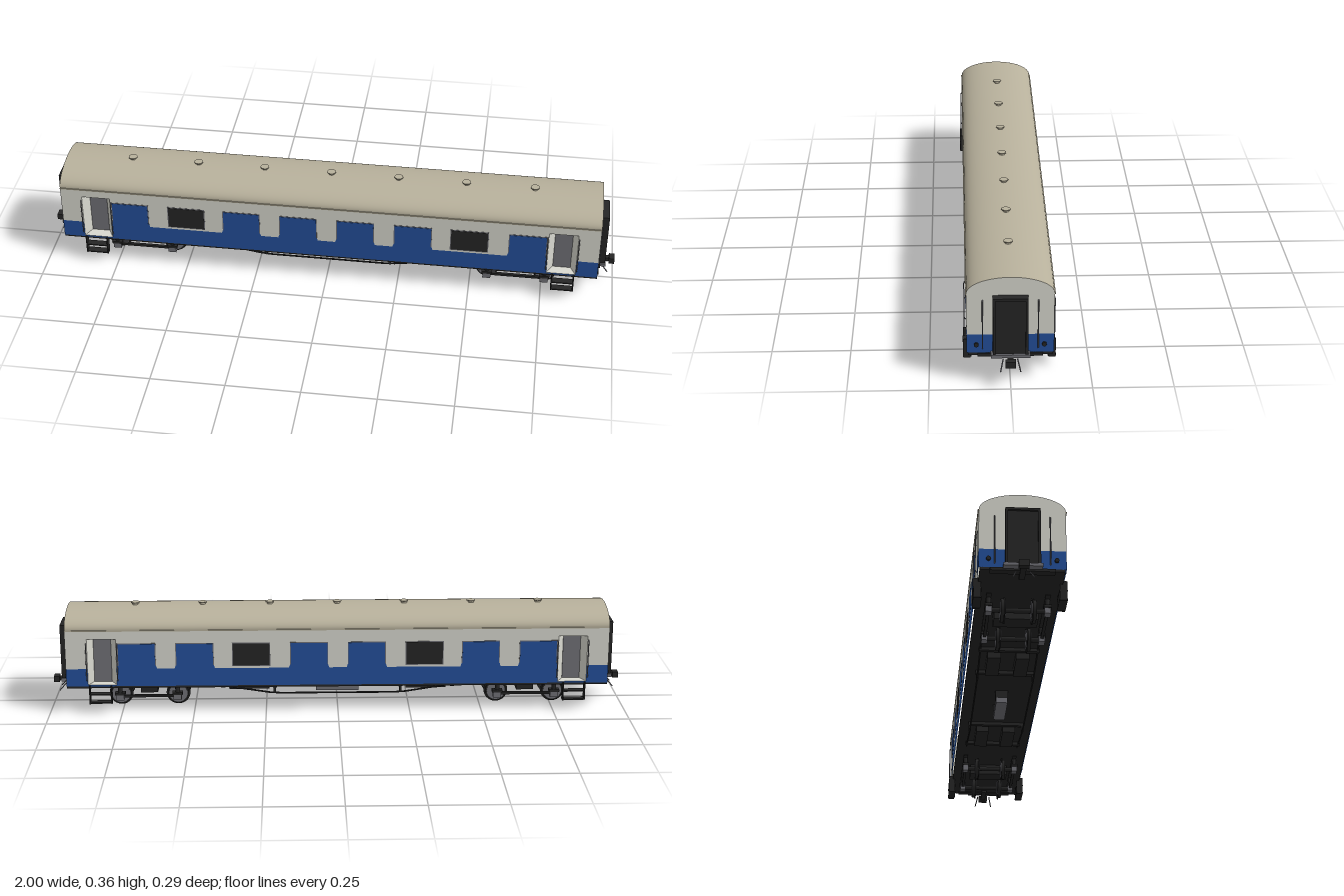
import * as THREE from 'three';

const mat = (name, color, side = THREE.FrontSide) => {
  const m = new THREE.MeshStandardMaterial({ color, side });
  m.name = name;
  return m;
};

export function createModel() {
  const cream = mat('cream paint', 0xd9d9d0, THREE.DoubleSide);
  const blue = mat('blue paint', 0x24509c, THREE.DoubleSide);
  const roofMat = mat('beige roof', 0xb8b19c);
  const dark = mat('dark metal', 0x262626);
  const grey = mat('grey metal', 0x727278, THREE.DoubleSide);

  const L = 0.94, W = 0.134, BASE = 0.095, BAND = 0.158, EAVES = 0.297, RISE = 0.055;
  const model = new THREE.Group();
  model.name = 'railwayCoach';

  const add = (parent, name, geo, material, x = 0, y = 0, z = 0) => {
    const m = new THREE.Mesh(geo, material);
    m.name = name;
    m.position.set(x, y, z);
    parent.add(m);
    return m;
  };
  // Box given by its minimum and maximum on each axis
  const box = (parent, name, material, x0, x1, y0, y1, z0, z1) =>
    add(parent, name, new THREE.BoxGeometry(x1 - x0, y1 - y0, z1 - z0), material,
      (x0 + x1) / 2, (y0 + y1) / 2, (z0 + z1) / 2);
  const tube = (parent, name, material, pts, r) => {
    const path = new THREE.CurvePath();
    for (let i = 1; i < pts.length; i++)
      path.add(new THREE.LineCurve3(new THREE.Vector3(...pts[i - 1]), new THREE.Vector3(...pts[i])));
    return add(parent, name, new THREE.TubeGeometry(path, 24, r, 6), material);
  };
  const poly = pts => new THREE.Shape(pts.map(p => new THREE.Vector2(...p)));
  const rect = (x0, x1, y0, y1) => [[x0, y0], [x1, y0], [x1, y1], [x0, y1]];
  const group = (parent, name) => {
    const g = new THREE.Group();
    g.name = name;
    parent.add(g);
    return g;
  };

  // Curved roof, ventilators and underframe floor
  const roof = new THREE.CylinderGeometry(1, 1, 2 * L, 40, 1, true, 0, Math.PI);
  roof.rotateZ(Math.PI / 2).scale(1, RISE, W);
  add(model, 'roof', roof, roofMat, 0, EAVES, 0);
  for (let i = -3; i <= 3; i++) {
    const v = group(model, 'roofVentilator');
    add(v, 'ventStem', new THREE.CylinderGeometry(0.01, 0.01, 0.012, 16), roofMat, i * 0.235, 0.354, 0);
    add(v, 'ventCap', new THREE.CylinderGeometry(0.015, 0.015, 0.003, 20), roofMat, i * 0.235, 0.3595, 0);
  }
  box(model, 'floor', dark, -L, L, 0.087, BASE + 0.001, -W + 0.004, W - 0.004);

  // One long side; the windows with dark panes differ between sides
  const D0 = 0.765, D1 = 0.865, DOOR_TOP = 0.265, DOOR_BASE = 0.1;
  const buildSide = (name, darkPanes) => {
    const s = group(model, name);
    const upper = poly([[-L, BAND], [-D1, BAND], [-D1, DOOR_TOP], [-D0, DOOR_TOP], [-D0, BAND],
      [D0, BAND], [D0, DOOR_TOP], [D1, DOOR_TOP], [D1, BAND], [L, BAND], [L, EAVES], [-L, EAVES]]);
    const lower = poly([[-L, BASE], [L, BASE], [L, BAND], [D1, BAND], [D1, DOOR_BASE], [D0, DOOR_BASE], [D0, BAND],
      [-D0, BAND], [-D0, DOOR_BASE], [-D1, DOOR_BASE], [-D1, BAND], [-L, BAND]]);
    add(s, 'upperPanel', new THREE.ShapeGeometry(upper), cream, 0, 0, W);
    add(s, 'lowerPanel', new THREE.ShapeGeometry(lower), blue, 0, 0, W);
    box(s, 'gutter', roofMat, -L, L, 0.293, 0.297, W - 0.002, W + 0.003);
    // Windows
    [-0.695, -0.495, -0.3, -0.1, 0.1, 0.3, 0.495, 0.695].forEach((x, i) => {
      const isDark = darkPanes.includes(i);
      box(s, 'windowFrame', grey, x - 0.066, x + 0.066, 0.165, 0.25, W - 0.003, W + 0.001);
      box(s, 'windowPane', isDark ? dark : blue, x - 0.063, x + 0.063, 0.168, 0.247, W - 0.002, W + 0.002);
      if (!isDark) {
        const flare = poly([[-0.07, BAND], [0.07, BAND], [0.066, 0.17], [-0.066, 0.17]]);
        add(s, 'windowSkirt', new THREE.ShapeGeometry(flare), blue, x, 0, W + 0.0015);
      }
    });
    // Recessed doorways with splayed walls, handrails and steps
    for (const e of [-1, 1]) {
      const d = group(s, 'doorway');
      const zi = W - 0.04, I0 = 0.786, I1 = 0.847;
      const o = rect(e * D0, e * D1, DOOR_BASE, DOOR_TOP), n = rect(e * I0, e * I1, DOOR_BASE, DOOR_TOP);
      const pos = [];
      for (let k = 0; k < 4; k++) {
        const j = (k + 1) % 4;
        const a = [...o[k], W], b = [...o[j], W], c = [...n[j], zi], f = [...n[k], zi];
        pos.push(...a, ...b, ...c, ...a, ...c, ...f);
      }
      const funnel = new THREE.BufferGeometry();
      funnel.setAttribute('position', new THREE.Float32BufferAttribute(pos, 3));
      funnel.computeVertexNormals();
      add(d, 'doorRecess', funnel, cream);
      const xs = [e * I0, e * I1].sort((a, b) => a - b);
      box(d, 'sideDoor', grey, xs[0], xs[1], DOOR_BASE, DOOR_TOP, zi - 0.004, zi + 0.001);
      for (const x of [0.762, 0.868])
        tube(d, 'handrail', grey, [[e * x, 0.115, W], [e * x, 0.12, 0.14], [e * x, 0.245, 0.14], [e * x, 0.25, W]], 0.0018);
      for (const x of [0.785, 0.86])
        box(d, 'stepBracket', dark, e * x - 0.002, e * x + 0.002, 0.033, 0.098, 0.121, 0.144);
      for (const y of [0.035, 0.065])
        box(d, 'stepTread', dark, e * 0.8225 - 0.0375, e * 0.8225 + 0.0375, y, y + 0.004, 0.119, 0.145);
    }
    // Truss rod and underfloor boxes
    tube(s, 'trussRod', dark, [[-0.47, 0.092, 0.095], [-0.22, 0.053, 0.095], [0.22, 0.053, 0.095], [0.47, 0.092, 0.095]], 0.003);
    for (const e of [-1, 1]) {
      box(s, 'trussPost', dark, e * 0.22 - 0.004, e * 0.22 + 0.004, 0.053, 0.09, 0.091, 0.099);
      box(s, 'equipmentBox', dark, e * 0.31 - 0.07, e * 0.31 + 0.07, 0.06, 0.09, 0.025, 0.07);
    }
    return s;
  };
  buildSide('frontSide', [1, 6]);
  buildSide('backSide', [2, 5]).rotation.y = Math.PI;

  // Central reservoir and cross members
  box(model, 'reservoir', grey, -0.075, 0.075, 0.036, 0.056, -0.02, 0.02);
  for (const x of [-0.06, 0.06]) box(model, 'reservoirHanger', dark, x - 0.004, x + 0.004, 0.05, 0.09, -0.022, 0.022);
  for (const x of [-0.4, -0.22, 0.22, 0.4]) box(model, 'crossMember', dark, x - 0.007, x + 0.007, 0.075, 0.09, -0.1, 0.1);

  // Coach ends with gangway, rails, lamps and coupler
  for (const e of [1, -1]) {
    const g = group(model, e > 0 ? 'leftEnd' : 'rightEnd');
    const arch = new THREE.Shape();
    arch.moveTo(-W, BAND).lineTo(W, BAND).lineTo(W, EAVES);
    arch.absellipse(0, EAVES, W, RISE, 0, Math.PI, false, 0);
    arch.lineTo(-W, BAND);
    add(g, 'endWall', new THREE.ShapeGeometry(arch, 40).rotateY(Math.PI / 2), cream, L);
    add(g, 'endBand', new THREE.ShapeGeometry(poly(rect(-W, W, BASE, BAND))).rotateY(Math.PI / 2), blue, L);
    box(g, 'gangway', dark, L, 0.959, 0.1, 0.29, -0.047, 0.047);
    for (const s of [-1, 1]) {
      box(g, 'gangwayFrame', dark, L, 0.966, 0.098, 0.288, s * 0.05 - 0.004, s * 0.05 + 0.004);
      tube(g, 'endRail', grey, [[L, 0.11, s * 0.085], [0.946, 0.112, s * 0.085], [0.946, 0.273, s * 0.085], [L, 0.275, s * 0.085]], 0.002);
      add(g, 'lamp', new THREE.CylinderGeometry(0.007, 0.007, 0.008, 16).rotateZ(Math.PI / 2), dark, 0.943, 0.124, s * 0.104);
      tube(g, 'brakeHose', grey, [[0.95, 0.078, s * 0.022], [0.978, 0.047, s * 0.031]], 0.002);
    }
    box(g, 'gangwayHeader', dark, L, 0.966, 0.284, 0.292, -0.054, 0.054);
    box(g, 'footplate', grey, L, 0.968, 0.09, 0.1, -0.06, 0.06);
    box(g, 'headstock', dark, 0.92, 0.945, 0.084, 0.094, -0.1, 0.1);
    box(g, 'couplerShank', dark, 0.9, 0.985, 0.077, 0.089, -0.009, 0.009);
    box(g, 'couplerHead', dark, 0.98, 1, 0.072, 0.093, -0.016, 0.016);
    if (e < 0) g.rotation.y = Math.PI;
  }

  // Two four-wheel bogies
  for (const e of [-1, 1]) {
    const b = group(model, 'bogie');
    b.position.x = e * 0.66;
    box(b, 'bogieBolster', dark, -0.03, 0.03, 0.05, 0.088, -0.07, 0.07);
    for (const x of [-0.1, 0.1]) {
      add(b, 'axle', new THREE.CylinderGeometry(0.008, 0.008, 0.18, 12).rotateX(Math.PI / 2), dark, x, 0.043, 0);
      for (const s of [-1, 1]) {
        const disc = (name, r, w, m, z) =>
          add(b, name, new THREE.CylinderGeometry(r, r, w, 28).rotateX(Math.PI / 2), m, x, 0.042, s * z);
        disc('wheelTyre', 0.037, 0.013, dark, 0.049);
        disc('wheelFlange', 0.042, 0.004, dark, 0.044);
        disc('wheelFace', 0.032, 0.017, grey, 0.048);
        // Axle box and its spring
        box(b, 'axleBox', grey, x - 0.014, x + 0.014, 0.031, 0.05, s * 0.092 - 0.01, s * 0.092 + 0.01);
        box(b, 'axleBoxCover', dark, x - 0.018, x + 0.018, 0.05, 0.059, s * 0.092 - 0.012, s * 0.092 + 0.012);
        add(b, 'spring', new THREE.CylinderGeometry(0.008, 0.008, 0.03, 12), dark, x, 0.073, s * 0.092);
      }
    }
    for (const s of [-1, 1]) {
      box(b, 'sideBar', dark, -0.1, 0.1, 0.041, 0.049, s * 0.092 - 0.005, s * 0.092 + 0.005);
      box(b, 'sideFrame', dark, -0.13, 0.13, 0.084, 0.092, s * 0.092 - 0.008, s * 0.092 + 0.008);
    }
  }
  return model;
}
